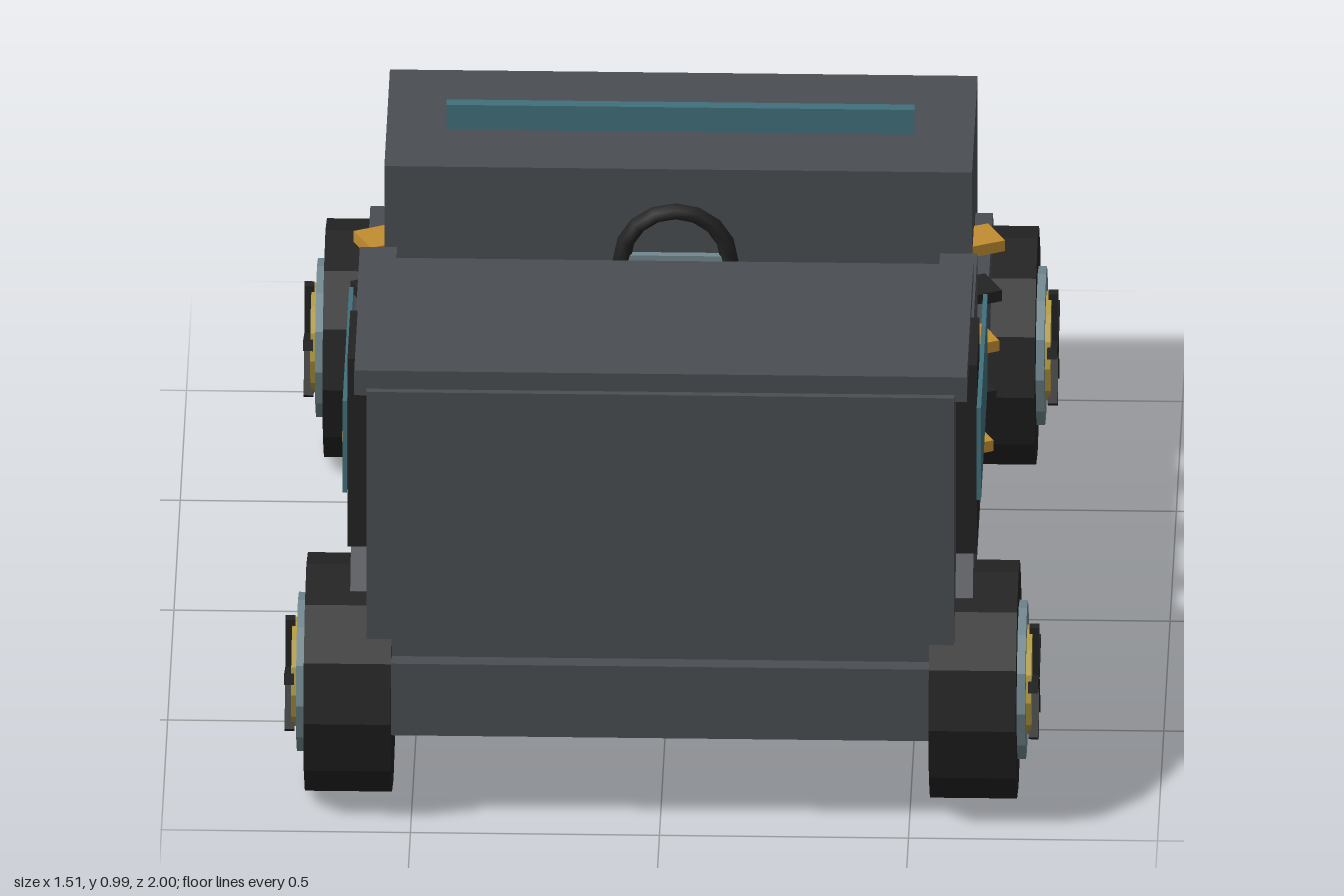
import * as THREE from 'three';

const mat = (name, color) => {
  const m = new THREE.MeshStandardMaterial({ color });
  m.name = name;
  return m;
};

export function createModel() {
  const model = new THREE.Group();
  model.name = 'openBuggy';
  const body = mat('body grey', 0x4a4e53);
  const black = mat('rubber black', 0x232323);
  const steel = mat('steel blue grey', 0x71888f);
  const gold = mat('hub gold', 0xb39c42);
  const amber = mat('amber', 0xc28d32);
  const glass = mat('dark teal glass', 0x41707d);
  const lamp = mat('lamp blue', 0x4fa8c8);

  const add = (name, geo, material, parent = model) => {
    const mesh = new THREE.Mesh(geo, material);
    mesh.name = name;
    parent.add(mesh);
    return mesh;
  };
  // Box given by its min and max on each axis
  const box = (name, material, x0, x1, y0, y1, z0, z1, parent = model) => {
    const mesh = add(name, new THREE.BoxGeometry(x1 - x0, y1 - y0, z1 - z0), material, parent);
    mesh.position.set((x0 + x1) / 2, (y0 + y1) / 2, (z0 + z1) / 2);
    return mesh;
  };
  // The same box on both sides
  const pair = (name, material, x0, x1, ...rest) => {
    box(name + 'Left', material, x0, x1, ...rest);
    box(name + 'Right', material, -x1, -x0, ...rest);
  };

  // Main body blocks
  box('chassis', body, -0.6, 0.6, 0.2, 0.36, -0.965, 0.965);
  box('hood', body, -0.59, 0.59, 0.36, 0.755, -0.935, -0.495);
  box('cabin', body, -0.59, 0.59, 0.36, 0.95, 0.4, 0.93);
  box('roof', body, -0.615, 0.615, 0.935, 0.99, 0.4, 0.915);
  pair('pillar', body, 0.545, 0.62, 0.3, 0.95, 0.27, 0.56);
  pair('darkPanel', black, 0.58, 0.632, 0.53, 0.95, 0.56, 0.78);
  pair('sideWindow', glass, 0.632, 0.641, 0.665, 0.87, 0.29, 0.81);
  box('windshieldStrip', glass, -0.47, 0.47, 0.755, 0.81, -0.69, -0.665);

  // Side panels with sloped ends over the wheels
  const side = new THREE.Shape([
    [0.84, 0.38], [0.84, 0.46], [0.78, 0.53], [0.3, 0.555], [0, 0.555],
    [-0.45, 0.54], [-0.77, 0.53], [-0.84, 0.46], [-0.84, 0.38],
  ].map(([z, y]) => new THREE.Vector2(-z, y)));
  for (const s of [1, -1]) {
    const geo = new THREE.ExtrudeGeometry(side, { depth: 0.155, bevelEnabled: false });
    geo.rotateY(Math.PI / 2);
    const panel = add(s > 0 ? 'sidePanelLeft' : 'sidePanelRight', geo, body);
    panel.position.x = s > 0 ? 0.47 : -0.625;
  }

  // Alternating tilted treads along both side panels
  for (const x of [0.565, -0.565]) {
    for (let i = 0; i < 5; i++) {
      const tread = add('sideTread', new THREE.BoxGeometry(0.157, 0.024, 0.085), i % 2 ? black : amber);
      tread.position.set(x, 0.553, -0.58 + i * 0.2275);
      tread.rotation.y = 0.44;
    }
  }

  // Lamps and grille on the nose
  pair('headlight', lamp, 0.335, 0.5, 0.55, 0.63, -0.965, -0.935);
  box('grille', black, -0.285, 0.285, 0.4, 0.525, -0.968, -0.935);
  for (let i = -2; i <= 2; i++) {
    box('grilleBar', steel, i * 0.1 - 0.011, i * 0.1 + 0.011, 0.405, 0.51, -0.983, -0.968);
  }

  // Seat
  const seat = new THREE.Group();
  seat.name = 'seat';
  model.add(seat);
  box('seatCushion', black, -0.215, 0.215, 0.36, 0.48, -0.09, 0.395, seat);
  box('seatBack', black, -0.215, 0.215, 0.48, 0.7, 0.285, 0.395, seat);
  box('seatBackPad', body, -0.16, 0.16, 0.5, 0.66, 0.268, 0.285, seat);

  // Steering wheel and column
  const steering = new THREE.Group();
  steering.name = 'steering';
  model.add(steering);
  const rim = add('steeringRim', new THREE.TorusGeometry(0.108, 0.018, 6, 16), black, steering);
  rim.position.set(0, 0.655, -0.288);
  box('steeringBar', steel, -0.1, 0.1, 0.643, 0.667, -0.296, -0.28, steering);
  const from = new THREE.Vector3(0, 0.655, -0.29), to = new THREE.Vector3(0, 0.36, -0.485);
  const column = add('steeringColumn',
    new THREE.CylinderGeometry(0.012, 0.012, from.distanceTo(to), 8), steel, steering);
  column.position.copy(from).lerp(to, 0.5);
  column.quaternion.setFromUnitVectors(new THREE.Vector3(0, 1, 0), from.clone().sub(to).normalize());

  // Wheels: faceted tyre, steel rim, gold hub and five spokes
  const disc = (r, x0, x1) => {
    const geo = new THREE.CylinderGeometry(r, r, x1 - x0, 12).toNonIndexed();
    geo.rotateZ(-Math.PI / 2);
    geo.translate((x0 + x1) / 2, 0, 0);
    geo.computeVertexNormals();
    return geo;
  };
  for (const s of [1, -1]) {
    for (const z of [0.76, -0.76]) {
      const wheel = new THREE.Group();
      wheel.name = (z > 0 ? 'front' : 'rear') + 'Wheel' + (s > 0 ? 'Left' : 'Right');
      wheel.position.set(0, 0.24, z);
      wheel.rotation.y = s > 0 ? 0 : Math.PI;
      model.add(wheel);
      add('tyre', disc(0.24, 0.54, 0.715), black, wheel);
      add('rim', disc(0.16, 0.7, 0.732), steel, wheel);
      add('hub', disc(0.11, 0.72, 0.743), gold, wheel);
      for (let i = 0; i < 5; i++) {
        const geo = new THREE.BoxGeometry(0.02, 0.12, 0.022);
        geo.translate(0.747, 0.06, 0);
        add('spoke', geo, black, wheel).rotation.x = i * Math.PI * 0.4;
      }
    }
  }
  return model;
}
